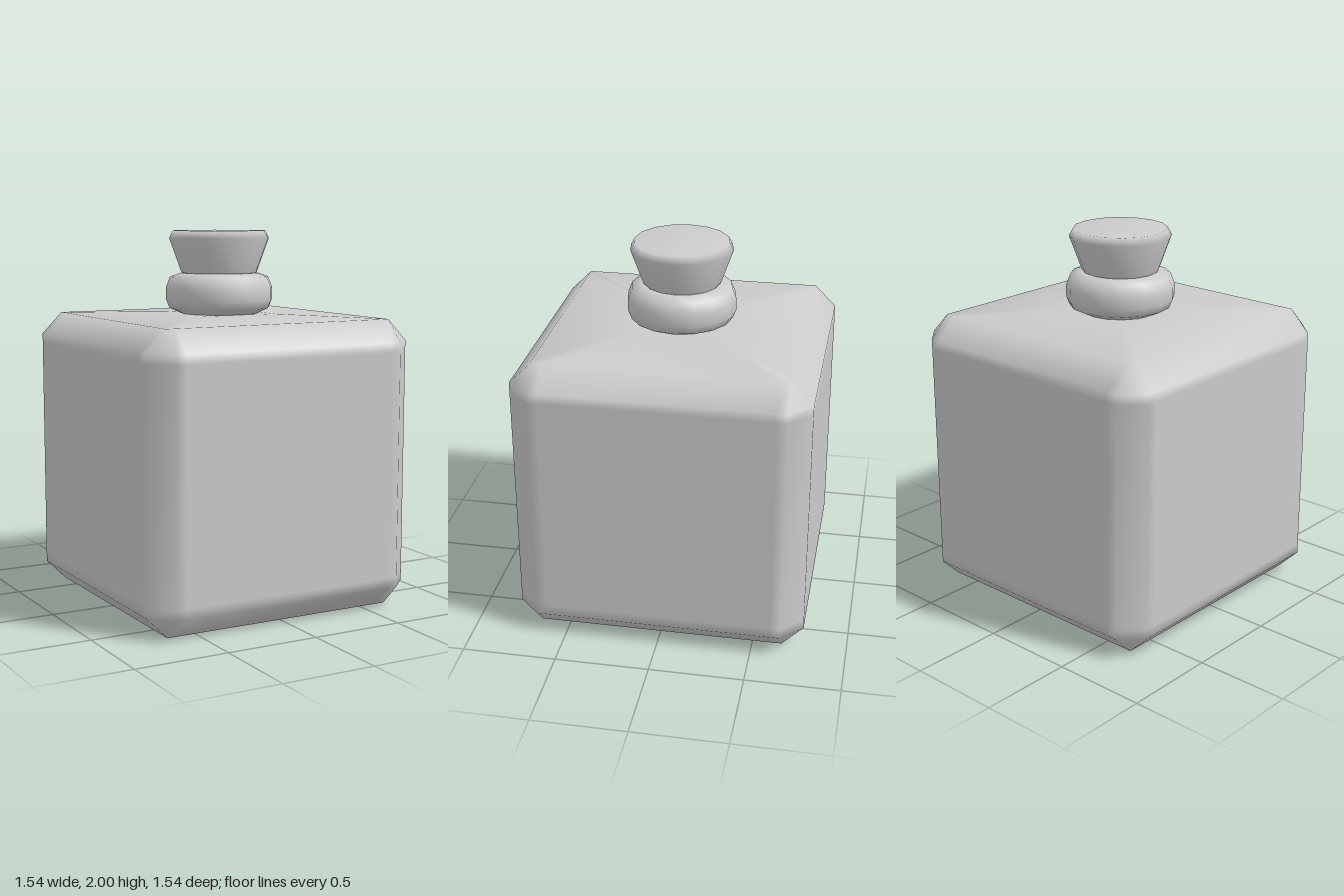
import * as THREE from 'three';
import { mergeVertices } from 'three/addons/utils/BufferGeometryUtils.js';

const material = new THREE.MeshStandardMaterial({ color: 0xcccccc });

// Stacks square rings with cut corners: each level is [half width, height].
function chamferedBox(levels, steps) {
  const positions = [], index = [];
  const count = steps.length * 4;
  for (const [d, y] of levels) {
    for (let side = 0; side < 4; side++) {
      for (const step of steps) {
        let x = d, z = THREE.MathUtils.clamp(step, -d, d);
        for (let k = 0; k < side; k++) [x, z] = [-z, x];
        positions.push(x, y, z);
      }
    }
  }
  for (let i = 0; i < levels.length - 1; i++) {
    for (let j = 0; j < count; j++) {
      const a = i * count + j, b = i * count + (j + 1) % count;
      const c = a + count, d = b + count;
      index.push(a, c, b, b, c, d);
    }
  }
  let geometry = new THREE.BufferGeometry();
  geometry.setAttribute('position', new THREE.Float32BufferAttribute(positions, 3));
  geometry.setIndex(index);
  geometry = mergeVertices(geometry, 1e-4);
  geometry.computeVertexNormals();
  return geometry;
}

function turned(profile) {
  return new THREE.LatheGeometry(profile.map(([r, y]) => new THREE.Vector2(r, y)), 16);
}

export function createModel() {
  const group = new THREE.Group();
  const add = (name, geometry) => {
    const mesh = new THREE.Mesh(geometry, material);
    mesh.name = name;
    group.add(mesh);
  };

  // Square bottle with bevelled edges and a slightly peaked shoulder
  add('bottleBody', chamferedBox([
    [0, 0], [0.6, 0], [0.655, 0], [0.77, 0.115], [0.77, 0.17],
    [0.77, 1.375], [0.77, 1.425], [0.655, 1.54], [0.22, 1.555], [0, 1.555],
  ], [-0.655, -0.6, 0.6, 0.655]));

  // Rounded collar around the neck
  add('neckRing', turned([
    [0.2, 1.55], [0.22, 1.56], [0.272, 1.585], [0.29, 1.63], [0.29, 1.695],
    [0.268, 1.752], [0.21, 1.773], [0, 1.773],
  ]));

  // Tapered stopper
  add('stopper', turned([
    [0, 1.765], [0.2, 1.77], [0.207, 1.78], [0.272, 1.96], [0.25, 2], [0, 2],
  ]));

  return group;
}
